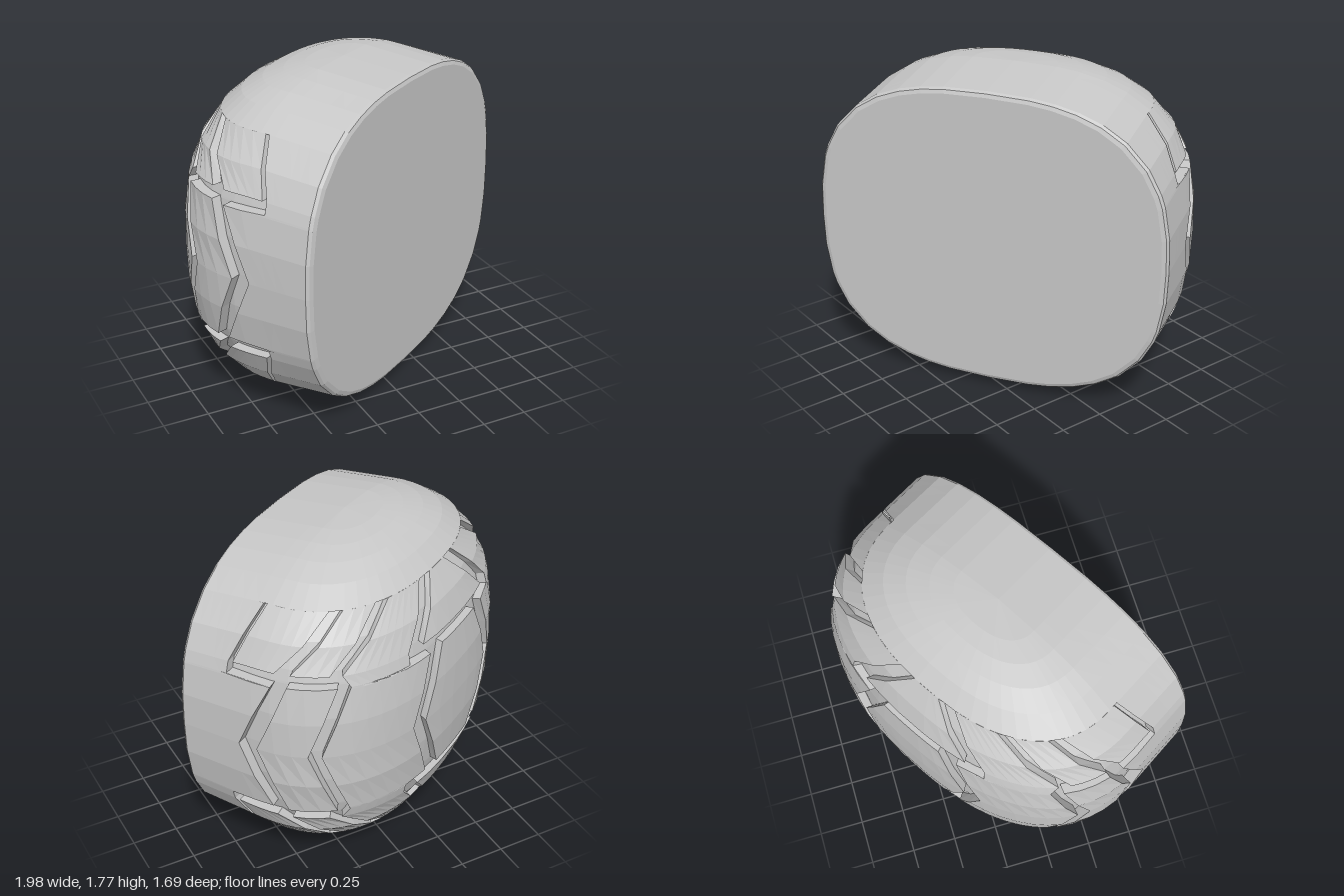
import * as THREE from 'three';

const HALF_W = 0.985, HALF_H = 0.883, BACK = 0.705, MID = -0.05, RIM = 1.38, GROOVE = 0.065, ROUND = 2.7;

// Point on the domed shell: t runs sideways round the back (-1..1), past that along the straight sides
function shell(t, y, depth = 0) {
  const s = Math.pow(Math.max(0, 1 - Math.pow(Math.abs(y) / HALF_H, ROUND)), 1 / ROUND) * (1 - depth);
  const a = Math.min(Math.abs(t), 1) * Math.PI / 2;
  const extra = Math.max(0, Math.abs(t) - 1);
  const u = Math.sign(t) * HALF_W * s * Math.pow(Math.sin(a), 0.85);
  const w = extra > 0 ? MID + extra : MID - BACK * s * Math.pow(Math.max(0, Math.cos(a)), 0.85);
  return new THREE.Vector3(u, y * (1 - 0.12 * extra), w);
}

// Piecewise linear edge: points are [height, t], mirrored about mid height
const edge = (...pts) => (y) => {
  const h = Math.abs(y);
  for (let i = 1; i < pts.length; i++) {
    const [y0, t0] = pts[i - 1], [y1, t1] = pts[i];
    if (h <= y1 + 1e-6) return t0 + (t1 - t0) * (h - y0) / (y1 - y0);
  }
  return pts[pts.length - 1][1];
};

function meshFrom(name, tris, material) {
  const g = new THREE.BufferGeometry().setFromPoints(tris);
  g.computeVertexNormals();
  const m = new THREE.Mesh(g, material);
  m.name = name;
  return m;
}

// Curved panel between two edges; the outer ring of the grid drops down as groove walls
function panel(name, ys, left, right, material, depth = 0) {
  const width = Math.max(...ys.map((y) => right(y) - left(y)));
  const n = Math.max(2, Math.ceil(width / 0.08)), m = ys.length - 1;
  const at = (i, j) => {
    const ci = Math.min(n, Math.max(0, i)), cj = Math.min(m, Math.max(0, j));
    const y = ys[cj], l = left(y), r = right(y);
    return shell(l + (r - l) * ci / n, y, i === ci && j === cj ? depth : depth + GROOVE);
  };
  const tris = [];
  for (let j = -1; j <= m; j++) {
    for (let i = -1; i <= n; i++) {
      if ((i < 0 || i === n) && (j < 0 || j === m)) continue;
      const a = at(i, j), b = at(i + 1, j), c = at(i + 1, j + 1), d = at(i, j + 1);
      tris.push(a, d, c, a, c, b);
    }
  }
  return meshFrom(name, tris, material);
}

const flip = (ys) => ys.map((y) => -y).reverse();
const full = (ys) => [...flip(ys).slice(0, -1), ...ys];

export function createModel() {
  const grey = new THREE.MeshStandardMaterial({ color: 0xc7c7c7, flatShading: true });
  grey.name = 'lightGrey';
  const body = new THREE.Group();
  body.name = 'groovedDome';

  const tall = full([0, 0.19, 0.37, 0.38, 0.44, 0.57, 0.7]);
  const belt = full([0, 0.19, 0.38]);
  const upper = [0.44, 0.57, 0.7];
  const cap = [0.7, 0.78, 0.83, 0.86, 0.876, HALF_H];
  const neg = (f) => (y) => -f(y);
  const constant = (t) => () => t;

  // Groove floor
  body.add(panel('grooveFloor', tall, constant(-1.25), constant(1.25), grey, GROOVE - 0.005));

  // Centre hexagon
  const hex = edge([0, 0.195], [0.38, 0.095]);
  body.add(panel('centreHexagon', belt, neg(hex), hex, grey));

  // Side panels, mirrored left and right: name, heights, inner edge, outer edge
  const chevronIn = edge([0, 0.26], [0.37, 0.165], [0.38, 0.277], [0.44, 0.277], [0.7, 0.12]);
  const chevronOut = edge([0, 0.69], [0.38, 0.56], [0.44, 0.6], [0.7, 0.33]);
  const sideIn = edge([0, 1.05], [0.37, 0.92], [0.38, 1.13], [0.44, 1.13], [0.7, 1.03]);
  const slantA = [edge([0.44, 0.66], [0.7, 0.41]), edge([0.44, 0.84], [0.7, 0.6])];
  const slantB = [edge([0.44, 0.91], [0.7, 0.68]), edge([0.44, 1.105], [0.7, 1.01])];
  const sides = [
    ['chevronPanel', tall, chevronIn, chevronOut],
    ['sideChevron', belt, edge([0, 0.75], [0.38, 0.62]), edge([0, 0.97], [0.38, 0.85])],
    ['sideWall', tall, sideIn, constant(RIM)],
    ['upperSlantPanel', upper, ...slantA],
    ['lowerSlantPanel', flip(upper), ...slantA],
    ['upperSidePanel', upper, ...slantB],
    ['lowerSidePanel', flip(upper), ...slantB],
  ];
  for (const [name, ys, inner, outer] of sides) {
    body.add(panel(name + 'Left', ys, inner, outer, grey));
    body.add(panel(name + 'Right', ys, neg(outer), neg(inner), grey));
  }

  // Trapezoids and smooth caps above and below the hexagon
  const trap = edge([0.44, 0.198], [0.7, 0.045]);
  for (const [name, f] of [['upper', (ys) => ys], ['lower', flip]]) {
    body.add(panel(name + 'Trapezoid', f(upper), neg(trap), trap, grey));
    body.add(panel(name + 'Cap', f(cap), constant(-RIM), constant(RIM), grey));
  }

  // Rounded rim in two bevel steps, closed by the flat face
  const heights = full([0, 0.19, 0.37, 0.38, 0.44, 0.57, ...cap]);
  const outline = [
    ...heights.map((y) => shell(RIM, y)),
    ...[...heights].reverse().slice(1, -1).map((y) => shell(-RIM, y)),
  ];
  const inset = (scale, w) => outline.map((p) => new THREE.Vector3(p.x * scale, p.y * scale, w));
  const rings = [outline, inset(0.988, 0.345), inset(0.965, 0.353)];
  const centre = new THREE.Vector3(0, 0, 0.353);
  const rim = [], face = [];
  outline.forEach((_, i) => {
    const k = (i + 1) % outline.length;
    for (let r = 0; r < 2; r++) {
      const a = rings[r], b = rings[r + 1];
      rim.push(a[i], a[k], b[k], a[i], b[k], b[i]);
    }
    face.push(centre, rings[2][i], rings[2][k]);
  });
  body.add(meshFrom('roundedRim', rim, grey), meshFrom('flatFace', face, grey));

  body.rotation.y = 0.56;
  body.position.set(-0.025, HALF_H, 0.016);
  const model = new THREE.Group();
  model.add(body);
  return model;
}
